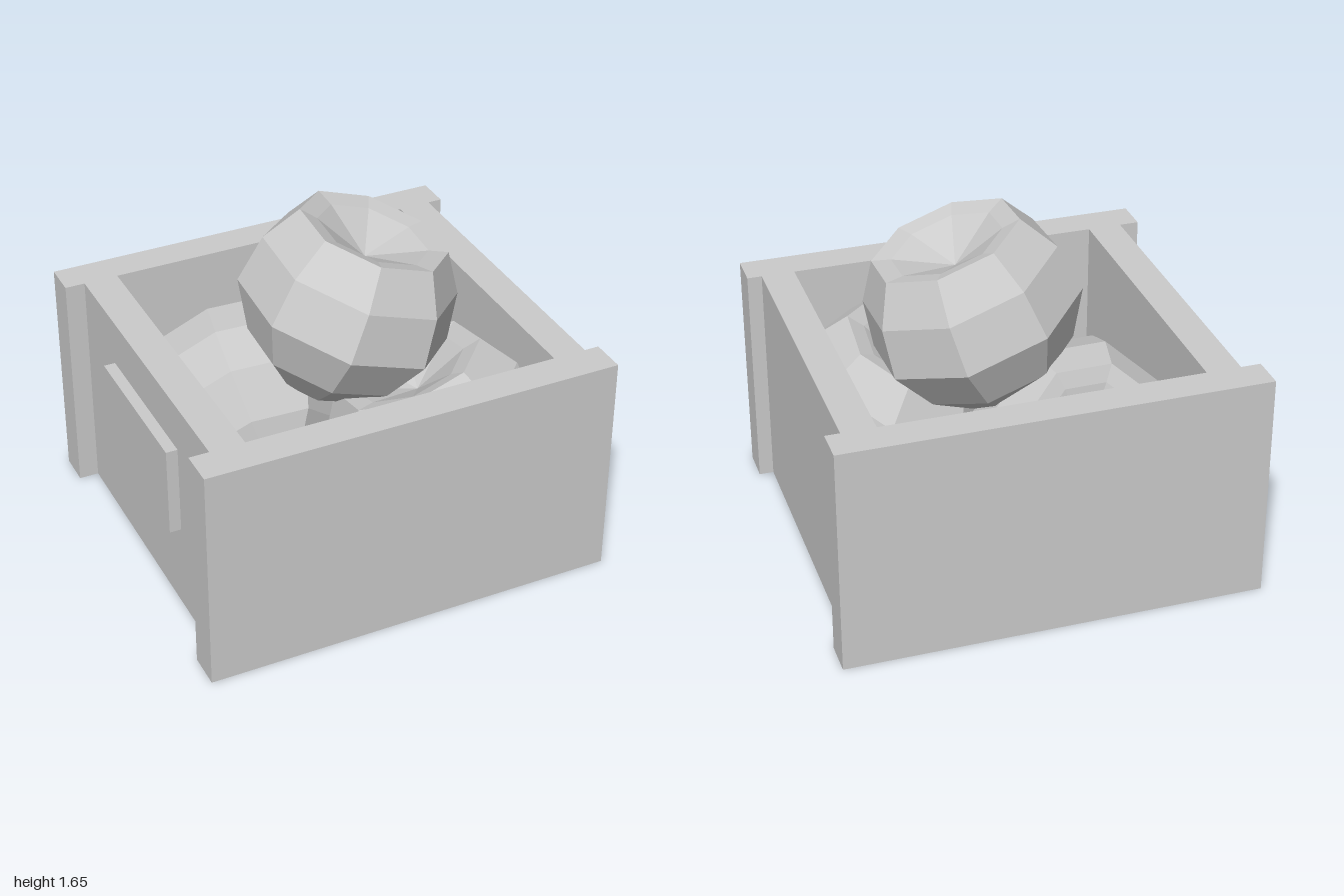
import * as THREE from 'three';

const woodMat = new THREE.MeshStandardMaterial({ color: 0xcccccc, flatShading: true });
const fruitMat = new THREE.MeshStandardMaterial({ color: 0xcccccc, flatShading: true });

// Box given by its min and max corners
function board(name, [x0, y0, z0], [x1, y1, z1]) {
  const mesh = new THREE.Mesh(new THREE.BoxGeometry(x1 - x0, y1 - y0, z1 - z0), woodMat);
  mesh.position.set((x0 + x1) / 2, (y0 + y1) / 2, (z0 + z1) / 2);
  mesh.name = name;
  return mesh;
}

// Eight-sided fruit: lumpy base, wide belly, raised shoulder and a stem dimple
function fruitGeometry() {
  const profile = [
    [0, -0.38], [0.2, -0.44], [0.39, -0.28], [0.515, -0.05],
    [0.475, 0.19], [0.36, 0.375], [0.27, 0.355], [0, 0.24],
  ].map(([r, y]) => new THREE.Vector2(r, y));
  return new THREE.LatheGeometry(profile, 8).rotateY(Math.PI / 8);
}

export function createModel() {
  const model = new THREE.Group();
  model.name = 'fruitCrate';

  // Crate: full-width end panels, inset side walls, raised floor
  const H = 1.11;
  const crate = new THREE.Group();
  crate.name = 'crate';
  crate.add(
    board('frontPanel', [-1, 0, 0.755], [1, H, 0.925]),
    board('backPanel', [-1, 0, -0.925], [1, H, -0.76]),
    board('rightWall', [-0.905, 0, -0.76], [-0.74, H, 0.755]),
    board('leftWall', [0.77, 0, -0.76], [0.93, H, 0.755]),
    board('floor', [-0.74, 0.13, -0.76], [0.77, 0.16, 0.755]),
    board('sidePlate', [-0.96, 0.44, -0.39], [-0.905, 0.88, 0.38]),
  );
  model.add(crate);

  // Fruit: centre, direction of the dimple, size
  const geometry = fruitGeometry();
  const up = new THREE.Vector3(0, 1, 0);
  const fruits = [
    ['topFruit', [0.1, 1.18, 0.01], [0.33, 0.94, 0.08], 1],
    ['backFruit', [-0.3, 0.57, -0.27], [0.02, 0.5, -0.86], 0.96],
    ['frontFruit', [0.41, 0.56, 0.33], [-0.3, 0.92, -0.22], 1],
  ];
  for (const [name, centre, axis, size] of fruits) {
    const fruit = new THREE.Mesh(geometry, fruitMat);
    fruit.name = name;
    fruit.position.set(...centre);
    fruit.quaternion.setFromUnitVectors(up, new THREE.Vector3(...axis).normalize());
    fruit.scale.setScalar(size);
    model.add(fruit);
  }
  return model;
}
